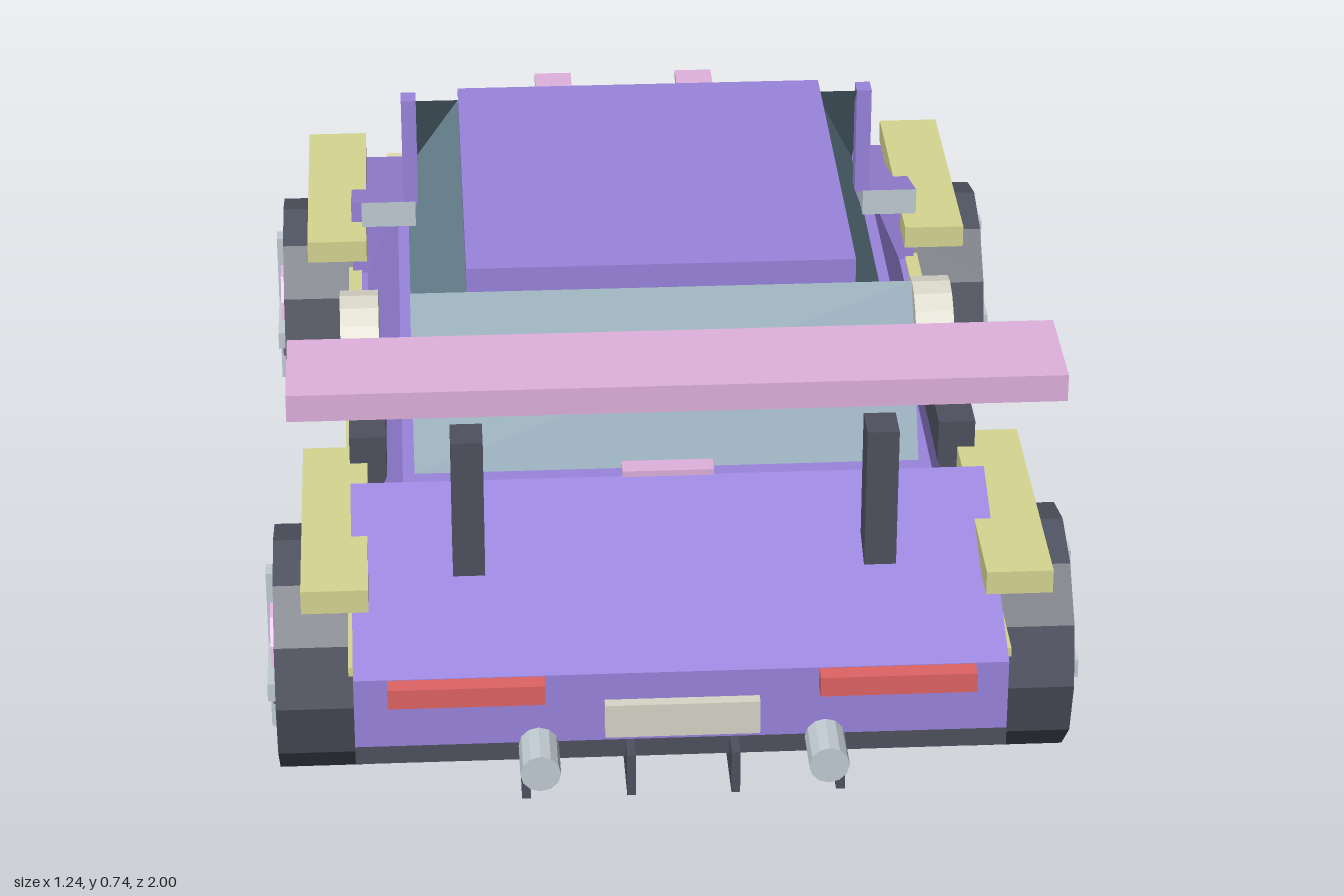
import * as THREE from 'three';

const mat = (color) => new THREE.MeshStandardMaterial({ color, flatShading: true });
const purple = mat(0x9a85dd), yellow = mat(0xd6d692), pink = mat(0xe0b2de), dark = mat(0x4e515f);
const red = mat(0xe06464), silver = mat(0xc2ccd4), cream = mat(0xd8d6c8), grey = mat(0x92959c);
const lamp = mat(0xe2dcae);
const glass = mat(0x7391a0);
glass.side = THREE.DoubleSide;

export function createModel() {
  const car = new THREE.Group();
  car.name = 'car';

  const add = (name, geometry, material) => {
    const mesh = new THREE.Mesh(geometry, material);
    mesh.name = name;
    car.add(mesh);
    return mesh;
  };
  // Box given by its extents on each axis
  const box = (name, material, [x0, x1], [y0, y1], [z0, z1]) => {
    const g = new THREE.BoxGeometry(x1 - x0, y1 - y0, z1 - z0);
    g.translate((x0 + x1) / 2, (y0 + y1) / 2, (z0 + z1) / 2);
    return add(name, g, material);
  };
  // Same box on the left and right
  const pair = (name, material, [x0, x1], y, z) => {
    box(name + 'Left', material, [x0, x1], y, z);
    box(name + 'Right', material, [-x1, -x0], y, z);
  };
  const extrude = (points, depth) => {
    const shape = new THREE.Shape(points.map(([a, b]) => new THREE.Vector2(a, b)));
    return new THREE.ExtrudeGeometry(shape, { depth, bevelEnabled: false });
  };
  // Side profile of (z, y) points, extruded between x0 and x1
  const profile = (name, material, points, x0, x1) => {
    const g = extrude(points, x1 - x0);
    g.rotateY(-Math.PI / 2);
    g.translate(x1, 0, 0);
    return add(name, g, material);
  };
  const cylinderX = (name, material, r, x0, x1, y, z, sides) => {
    const g = new THREE.CylinderGeometry(r, r, Math.abs(x1 - x0), sides);
    g.rotateZ(Math.PI / 2);
    g.rotateX(Math.PI / 2);
    g.translate((x0 + x1) / 2, y, z);
    return add(name, g, material);
  };

  // Body: lower hull, sloping nose and tail, tapered middle
  box('lowerBody', purple, [-0.485, 0.485], [0.2, 0.315], [-0.86, 0.92]);
  profile('hood', purple, [[-0.86, 0.315], [-0.4, 0.315], [-0.4, 0.45]], -0.485, 0.485);
  profile('rearDeck', purple, [[0.92, 0.315], [0.57, 0.45], [0.57, 0.315]], -0.485, 0.485);
  const middle = extrude([[-0.46, 0.315], [0.46, 0.315], [0.405, 0.45], [-0.405, 0.45]], 0.97);
  middle.translate(0, 0, -0.4);
  add('middleBody', middle, purple);
  box('floor', dark, [-0.485, 0.485], [0.17, 0.2], [-0.86, 0.92]);

  // Glasshouse: full-width windshield and rear window, leaning side windows
  const pane = (name, a, b, c, d) => {
    const g = new THREE.BufferGeometry();
    g.setAttribute('position', new THREE.Float32BufferAttribute([a, b, c, a, c, d].flat(), 3));
    g.computeVertexNormals();
    add(name, g, glass);
  };
  const w = 0.387, y0 = 0.45, y1 = 0.68;
  pane('windshield', [w, y0, -0.53], [-w, y0, -0.53], [-w, y1, -0.31], [w, y1, -0.31]);
  pane('rearWindow', [-w, y0, 0.545], [w, y0, 0.545], [w, y1, 0.39], [-w, y1, 0.39]);
  pane('sideWindowLeft', [w, y0, 0.545], [w, y0, -0.53], [0.3, y1, -0.31], [0.3, y1, 0.39]);
  pane('sideWindowRight', [-w, y0, -0.53], [-w, y0, 0.545], [-0.3, y1, 0.39], [-0.3, y1, -0.31]);
  pane('glassTop', [-0.3, y1, 0.39], [0.3, y1, 0.39], [0.3, y1, -0.31], [-0.3, y1, -0.31]);
  box('roof', purple, [-0.3, 0.3], [0.68, 0.72], [-0.27, 0.39]);
  pair('windshieldPillar', purple, [0.37, 0.395], [0.45, 0.68], [-0.345, -0.31]);

  // Wedge mirrors
  for (const [name, x] of [['mirrorLeft', 0.375], ['mirrorRight', -0.465]]) {
    profile(name, silver, [[-0.31, 0.49], [-0.225, 0.49], [-0.225, 0.535]], x, x + 0.09);
  }

  // Flank trim
  pair('frontFender', yellow, [0.46, 0.56], [0.375, 0.413], [-0.755, -0.325]);
  pair('rearFender', yellow, [0.46, 0.56], [0.375, 0.413], [0.39, 0.825]);
  pair('sill', yellow, [0.45, 0.5], [0.18, 0.223], [-0.34, 0.41]);
  pair('beltLine', yellow, [0.47, 0.492], [0.305, 0.32], [-0.82, 0.89]);
  pair('sideIntake', dark, [0.43, 0.487], [0.325, 0.458], [0.135, 0.442]);
  pair('doorSeamFront', dark, [0.47, 0.489], [0.225, 0.305], [-0.1, -0.088]);
  pair('doorSeamRear', dark, [0.47, 0.489], [0.225, 0.305], [0.25, 0.262]);
  pair('doorHandle', silver, [0.47, 0.495], [0.283, 0.3], [0.115, 0.2]);

  for (const [s, side] of [[1, 'Left'], [-1, 'Right']]) {
    cylinderX('doorDisc' + side, cream, 0.085, s * 0.44, s * 0.503, 0.37, -0.043, 16);
    // Wheels with hub and crossed spokes
    for (const [z, end] of [[-0.535, 'front'], [0.605, 'rear']]) {
      cylinderX(end + 'Tire' + side, dark, 0.187, s * 0.46, s * 0.605, 0.187, z, 12);
      cylinderX(end + 'Hub' + side, pink, 0.09, s * 0.59, s * 0.613, 0.187, z, 12);
      const x = s > 0 ? [0.595, 0.618] : [-0.618, -0.595];
      box(end + 'SpokeUpright' + side, silver, x, [0.05, 0.324], [z - 0.015, z + 0.015]);
      box(end + 'SpokeLevel' + side, silver, x, [0.172, 0.202], [z - 0.137, z + 0.137]);
    }
    // Exhaust pipe
    const pipe = new THREE.CylinderGeometry(0.03, 0.03, 0.1, 12);
    pipe.rotateX(Math.PI / 2);
    pipe.translate(s * 0.213, 0.195, 0.95);
    add('exhaust' + side, pipe, silver);
  }

  // Tail
  box('spoilerWing', pink, [-0.57, 0.57], [0.695, 0.738], [0.642, 0.815]);
  pair('spoilerPost', dark, [0.285, 0.333], [0.385, 0.612], [0.685, 0.745]);
  box('deckVent', pink, [-0.07, 0.07], [0.445, 0.459], [0.535, 0.572]);
  pair('tailLight', red, [0.203, 0.435], [0.282, 0.314], [0.91, 0.948]);
  box('rearPlate', cream, [-0.115, 0.115], [0.215, 0.27], [0.91, 0.938]);
  pair('diffuserFinInner', dark, [0.071, 0.084], [0.13, 0.2], [0.81, 0.965]);
  pair('diffuserFinOuter', dark, [0.227, 0.24], [0.13, 0.2], [0.81, 0.965]);

  // Nose
  box('splitter', dark, [-0.523, 0.523], [0.14, 0.175], [-1, -0.85]);
  profile('splitterRamp', grey, [[-0.958, 0.175], [-0.87, 0.175], [-0.958, 0.212]], -0.46, 0.46);
  box('noseMarker', red, [0.215, 0.26], [0.19, 0.238], [-0.978, -0.9]);
  box('grille', dark, [-0.148, 0.148], [0.22, 0.285], [-0.895, -0.85]);
  pair('headlight', lamp, [0.215, 0.425], [0.272, 0.31], [-0.885, -0.85]);
  pair('hoodBar', pink, [0.093, 0.157], [0.494, 0.508], [-0.785, -0.478]);

  return car;
}
